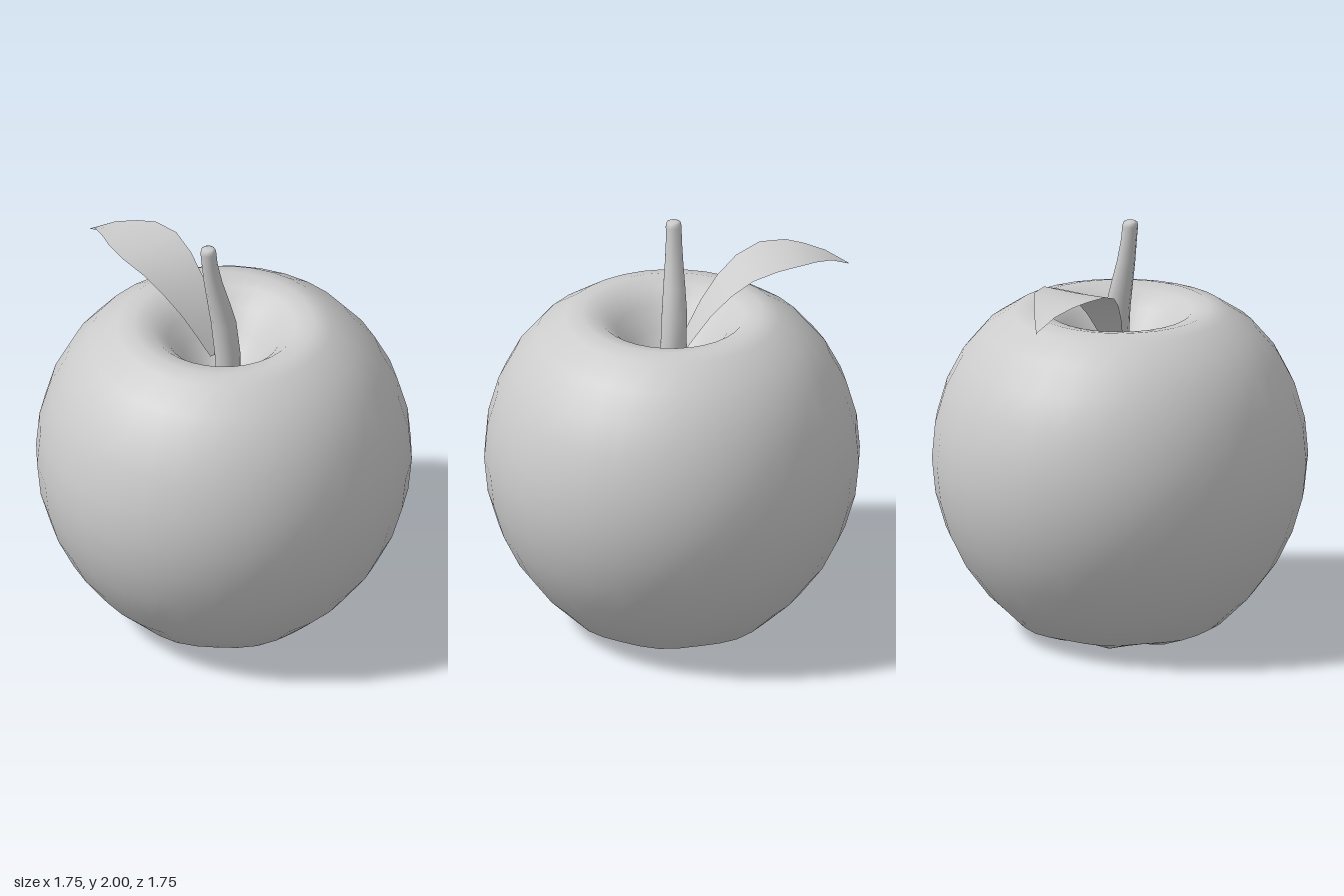
import * as THREE from 'three';
import { mergeVertices } from 'three/addons/utils/BufferGeometryUtils.js';

// Skin a list of equally long point rows into one smooth surface.
function loft(rows, closed) {
  const n = rows[0].length, index = [];
  for (let i = 0; i < rows.length - 1; i++) {
    for (let j = 0; j < (closed ? n : n - 1); j++) {
      const k = (j + 1) % n;
      const a = i * n + j, b = i * n + k, c = b + n, d = a + n;
      index.push(a, b, c, a, c, d);
    }
  }
  const geo = new THREE.BufferGeometry().setFromPoints(rows.flat());
  geo.setIndex(index);
  const merged = mergeVertices(geo, 1e-5);
  merged.computeVertexNormals();
  return merged;
}

// Horizontal ring of points around (x, y, z); lift(angle) offsets the height.
function ring(sides, r, x, y, z, lift = () => 0) {
  return Array.from({ length: sides }, (_, i) => {
    const a = (i / sides) * Math.PI * 2;
    return new THREE.Vector3(x + r * Math.sin(a), y + lift(a), z + r * Math.cos(a));
  });
}

export function createModel() {
  const model = new THREE.Group();
  model.name = 'apple';
  const grey = new THREE.MeshStandardMaterial({ color: 0xcccccc });
  const add = (name, geo, material = grey) => {
    const mesh = new THREE.Mesh(geo, material);
    mesh.name = name;
    model.add(mesh);
  };

  // Fruit: radius, height, and strength of the eight lobes underneath
  const profile = [
    [0, 0.12, 0], [0.1, 0.1, 0.006], [0.2, 0.05, 0.015], [0.335, 0.013, 0.012],
    [0.49, 0.066, 0.004], [0.625, 0.2, 0], [0.735, 0.35, 0], [0.81, 0.505, 0],
    [0.858, 0.67, 0], [0.875, 0.84, 0], [0.86, 1.01, 0], [0.812, 1.18, 0],
    [0.735, 1.33, 0], [0.63, 1.455, 0], [0.5, 1.542, 0], [0.42, 1.564, 0],
    [0.335, 1.545, 0], [0.26, 1.48, 0], [0.19, 1.385, 0], [0.12, 1.3, 0],
    [0.06, 1.255, 0], [0, 1.24, 0],
  ];
  add('fruit', loft(profile.map(([r, y, lobe]) =>
    ring(32, r, 0, y, 0, (a) => lobe * Math.cos(8 * a))), true));

  // Stem: radius and centre of each ring, bending forward to a rounded tip
  const stem = [
    [0.054, 0.003, 1.2, -0.025], [0.06, 0, 1.38, -0.022], [0.059, -0.01, 1.56, -0.006],
    [0.051, -0.017, 1.69, 0.022], [0.043, -0.023, 1.8, 0.047], [0.037, -0.027, 1.91, 0.065],
    [0.037, -0.028, 1.975, 0.072], [0.033, -0.028, 1.994, 0.073], [0.022, -0.028, 2, 0.073],
    [0, -0.028, 2, 0.073],
  ];
  add('stem', loft(stem.map(([r, x, y, z]) => ring(10, r, x, y, z)), true));

  // Leaf: x, height, back edge z, front edge z
  const leaf = [
    [-0.045, 1.37, -0.04, 0.045], [-0.1, 1.46, -0.06, 0.075], [-0.17, 1.56, -0.075, 0.11],
    [-0.26, 1.655, -0.092, 0.15], [-0.36, 1.728, -0.108, 0.185], [-0.48, 1.77, -0.122, 0.21],
    [-0.6, 1.776, -0.102, 0.19], [-0.68, 1.763, -0.058, 0.153], [-0.77, 1.735, -0.002, 0.112],
    [-0.87, 1.675, 0.07, 0.07],
  ];
  const leafRows = leaf.map(([x, y, back, front]) => [0, 0.5, 1].map((t) =>
    new THREE.Vector3(x, y - (t === 0.5 ? 0.004 : 0), THREE.MathUtils.lerp(front, back, t))));
  add('leaf', loft(leafRows.reverse(), false),
    new THREE.MeshStandardMaterial({ color: 0xcccccc, side: THREE.DoubleSide }));

  return model;
}
